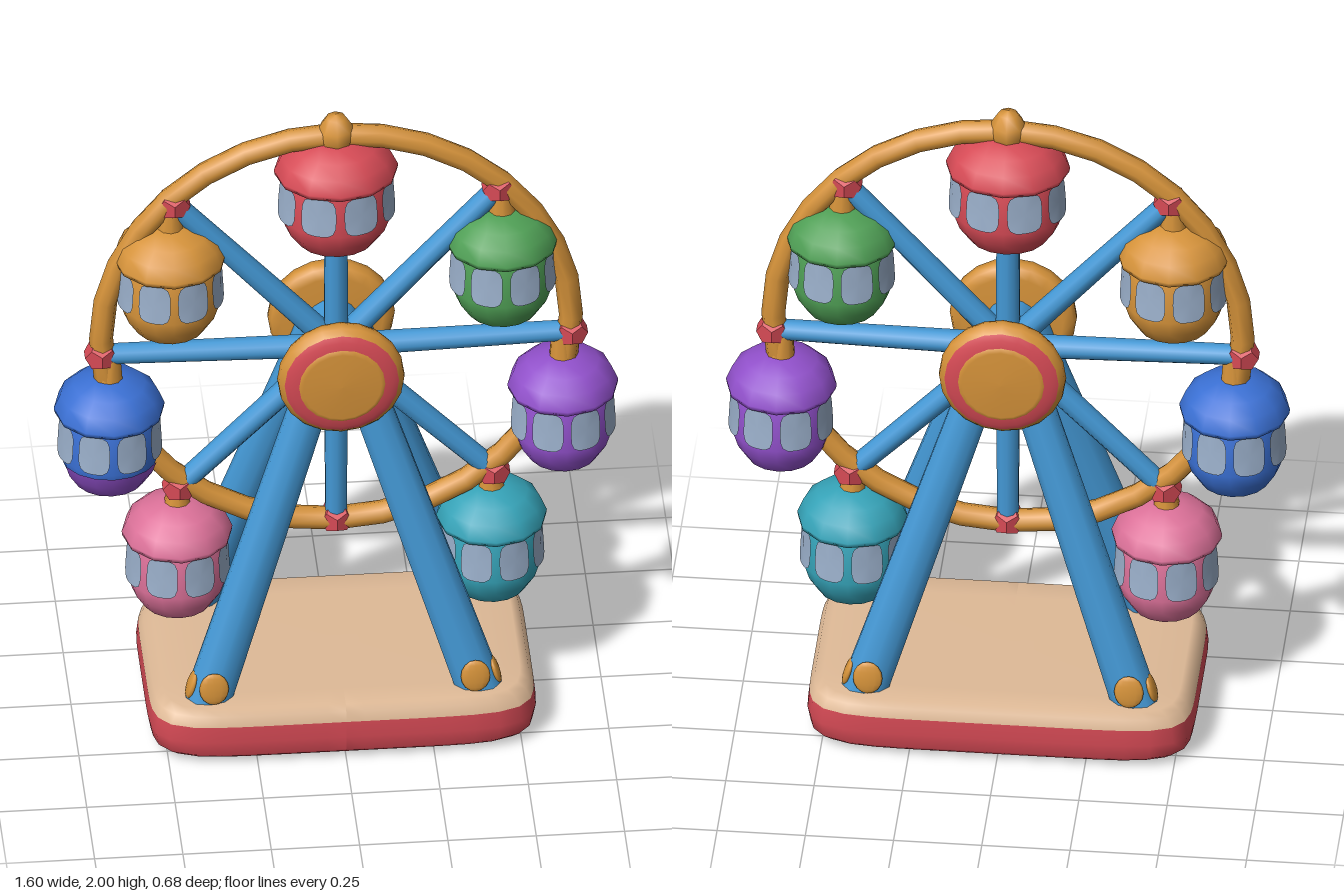
import * as THREE from 'three';

const mat = (name, color) => {
  const m = new THREE.MeshStandardMaterial({ color });
  m.name = name;
  return m;
};
const V = (x, y, z = 0) => new THREE.Vector3(x, y, z);
const lathe = (pts, segs, start = 0, len = Math.PI * 2) =>
  new THREE.LatheGeometry(pts.map(([r, y]) => new THREE.Vector2(r, y)), segs, start, len);

export function createModel() {
  const red = mat('red', 0xd64a55), orange = mat('orange', 0xd6933a), tan = mat('tan', 0xdfba97);
  const sky = mat('sky blue', 0x4499d6), green = mat('green', 0x4f9f55), purple = mat('purple', 0x9150cb);
  const glass = mat('window glass', 0x9bb0cb), pink = mat('pink', 0xdc7199);
  const teal = mat('teal', 0x35a3b8), royal = mat('royal blue', 0x3a70d4);

  const model = new THREE.Group();
  model.name = 'ferrisWheel';
  const add = (parent, name, geo, material) => {
    const m = new THREE.Mesh(geo, material);
    m.name = name;
    parent.add(m);
    return m;
  };
  // Oval rod between two points
  const rod = (parent, name, a, b, rTop, rBottom, material, flat = 1) => {
    const d = b.clone().sub(a);
    const geo = new THREE.CylinderGeometry(rTop, rBottom, d.length(), 10);
    geo.scale(1, 1, flat);
    const m = add(parent, name, geo, material);
    m.position.copy(a).addScaledVector(d, 0.5);
    m.quaternion.setFromUnitVectors(V(0, 1), d.normalize());
    return m;
  };

  // Base: bowed rounded slab, the round lathe outline pushed out to a soft rectangle
  const slab = (name, profile, material) => {
    const geo = lathe(profile, 64);
    const p = geo.attributes.position;
    for (let i = 0; i < p.count; i++) {
      const x = p.getX(i), z = p.getZ(i), r = Math.hypot(x, z);
      if (r < 1e-6) continue;
      const k = Math.pow(Math.abs(x / r) ** 7 + Math.abs(z / r) ** 7, -1 / 7);
      p.setXYZ(i, x * k * 0.55, p.getY(i), z * k * 0.338);
    }
    geo.computeVertexNormals();
    add(model, name, geo, material);
  };
  slab('baseSides', [[0, 0], [0.6, 0.005], [0.95, 0.02], [0.985, 0.035], [1, 0.08], [0.99, 0.13]], red);
  slab('baseTop', [[0.99, 0.13], [0.965, 0.16], [0.92, 0.176], [0.7, 0.178], [0, 0.178]], tan);

  // Support legs with orange bolt plates at the feet
  for (const sx of [-1, 1]) for (const sz of [-1, 1]) {
    const foot = V(0.385 * sx, 0.16, 0.235 * sz), top = V(0.05 * sx, 1.2, 0.105 * sz);
    rod(model, 'leg', foot, top, 0.055, 0.068, sky, 0.75);
    const front = add(model, 'footBolt', new THREE.SphereGeometry(1, 12, 8), orange);
    front.scale.set(0.042, 0.05, 0.01);
    front.position.set(0.37 * sx, 0.228, 0.28 * sz);
    front.rotation.x = -0.12 * sz;
    const side = add(model, 'footBolt', new THREE.SphereGeometry(1, 12, 8), orange);
    side.scale.set(0.012, 0.045, 0.034);
    side.position.set(0.43 * sx, 0.215, 0.232 * sz);
    side.rotation.z = 0.3 * sx;
  }

  // Hub: axle and a layered disc on each side
  const hub = new THREE.Group();
  hub.name = 'hub';
  hub.position.y = 1.2;
  model.add(hub);
  add(hub, 'axle', new THREE.CylinderGeometry(0.075, 0.075, 0.26, 16).rotateX(Math.PI / 2), sky);
  for (const turn of [0, Math.PI]) {
    const disc = (name, profile, material) =>
      add(hub, name, lathe(profile, 20).rotateX(Math.PI / 2).rotateY(turn), material);
    disc('hubRim', [[0, 0.115], [0.145, 0.118], [0.172, 0.13], [0.18, 0.15], [0.178, 0.172], [0.162, 0.187]], orange);
    disc('hubRing', [[0.162, 0.187], [0.145, 0.196], [0.122, 0.2]], red);
    disc('hubCap', [[0.122, 0.2], [0.11, 0.207], [0, 0.21]], orange);
  }

  // Rim
  const rim = add(model, 'rim', new THREE.TorusGeometry(0.665, 0.034, 8, 32), orange);
  rim.position.y = 1.265;

  // Spokes and rim knobs
  const ends = [[0, 1.93], [0.46, 1.72], [0.665, 1.21], [0.445, 0.74],
    [0, 0.605], [-0.445, 0.74], [-0.665, 1.21], [-0.46, 1.72]];
  ends.forEach(([x, y], i) => {
    rod(model, 'spoke', V(0, 1.2), V(x, y), 0.031, 0.036, sky);
    const knob = add(model, 'rimKnob', new THREE.DodecahedronGeometry(i ? 0.05 : 0.044), red);
    knob.position.set(x, y, 0);
  });
  const finial = add(model, 'finial',
    lathe([[0, -0.08], [0.04, -0.05], [0.052, -0.01], [0.05, 0.02], [0.028, 0.055], [0, 0.065]], 8), orange);
  finial.position.y = 1.935;

  // Rounded window pane wrapped round the cabin wall
  const pane = (angle) => {
    const geo = new THREE.CircleGeometry(1, 24);
    const p = geo.attributes.position;
    for (let i = 0; i < p.count; i++) {
      const x = p.getX(i), y = p.getY(i);
      const k = i ? Math.pow(x ** 4 + y ** 4, -0.25) : 0;
      const a = angle + x * k * 0.32, h = y * k * 0.062;
      const r = 0.149 - h * 0.06;
      p.setXYZ(i, Math.sin(a) * r, h + 0.002, Math.cos(a) * r);
    }
    geo.computeVertexNormals();
    return geo;
  };

  // Cabins: tub, windows, overhanging roof and hanger
  const cabin = (x, y, color, scale, hang) => {
    const g = new THREE.Group();
    g.name = 'cabin';
    g.position.set(x, y, 0);
    g.scale.set(scale, 1, 0.96);
    model.add(g);
    add(g, 'cabinBody', lathe([[0, -0.188], [0.055, -0.185], [0.1, -0.162], [0.13, -0.115],
      [0.146, -0.065], [0.138, 0.075], [0.1, 0.1]], 16), color);
    add(g, 'cabinRoof', lathe([[0.125, 0.085], [0.158, 0.068], [0.16, 0.082], [0.142, 0.125],
      [0.105, 0.158], [0.05, 0.178], [0, 0.184]], 12), color);
    for (let i = 0; i < 8; i++) add(g, 'cabinWindow', pane((i + 0.5) * Math.PI / 4), glass);
    rod(model, 'hanger', V(x, y + 0.16), V(x * 0.995, hang), 0.03, 0.04, orange);
    return g;
  };
  cabin(0, 1.735, red, 1.1, 1.92);
  cabin(-0.47, 1.462, orange, 1, 1.71);
  cabin(0.47, 1.462, green, 1, 1.71);
  const blueCabin = cabin(-0.642, 0.95, royal, 0.98, 1.2);
  cabin(0.642, 0.95, purple, 0.98, 1.2);
  cabin(-0.45, 0.51, pink, 0.98, 0.73);
  cabin(0.44, 0.51, teal, 0.98, 0.73);

  // Purple painted front of the blue cabin's tub
  add(blueCabin, 'tubPaint', lathe([[0.058, -0.188], [0.103, -0.165], [0.134, -0.117], [0.147, -0.078]],
    6, -1.1, 2.2), purple);

  return model;
}
